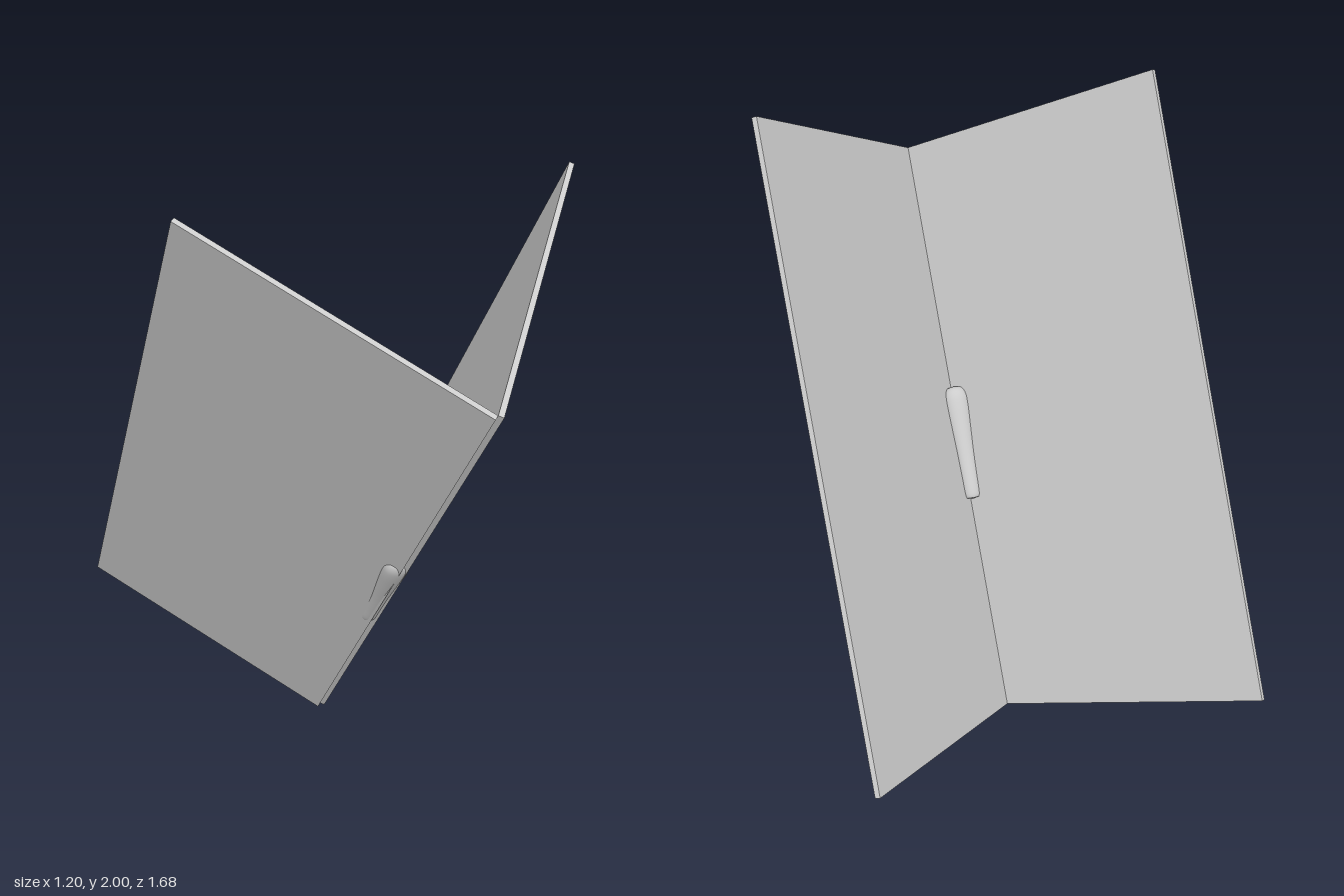
import * as THREE from 'three';

const HEIGHT = 1.906;   // length along the spine
const WIDTH = 0.944;    // spine to outer edge
const THICK = 0.016;
const OPENING = 0.896;  // angle of each panel from the side axis
const TILT = 0.5868;    // forward lean of the spine

export function createModel() {
  const material = new THREE.MeshStandardMaterial({ color: 0xcccccc });
  const model = new THREE.Group();
  model.name = 'hingedPanels';

  // Everything is built with the spine upright, then leaned forward.
  const leaning = new THREE.Group();
  leaning.name = 'leaningAssembly';
  leaning.position.set(0, 0, -0.215);
  leaning.rotation.x = TILT;
  model.add(leaning);

  // Two flat panels meeting in a V, inner corners touching
  for (const side of [1, -1]) {
    const geometry = new THREE.BoxGeometry(WIDTH, HEIGHT, THICK);
    geometry.translate(WIDTH / 2, HEIGHT / 2, side * THICK / 2);
    const panel = new THREE.Mesh(geometry, material);
    panel.name = side > 0 ? 'leftPanel' : 'rightPanel';
    panel.position.z = -0.01;
    panel.rotation.y = side > 0 ? OPENING : Math.PI - OPENING;
    leaning.add(panel);
  }

  // Smooth grip straddling the spine, fuller towards its top
  const outline = new THREE.SplineCurve([
    [0.022, 0.004], [0.028, 0.02], [0.03, 0.08], [0.033, 0.16], [0.039, 0.25],
    [0.043, 0.32], [0.04, 0.355], [0.026, 0.376], [0, 0.382],
  ].map(([r, y]) => new THREE.Vector2(r, y))).getPoints(40);
  outline[outline.length - 1].x = 0;
  const gripGeometry = new THREE.LatheGeometry([new THREE.Vector2(0, 0), ...outline], 32);
  const grip = new THREE.Mesh(gripGeometry, material);
  grip.name = 'grip';
  grip.position.set(-0.004, 0.708, -0.027);
  grip.scale.z = 0.8;
  grip.rotation.x = -0.02;
  leaning.add(grip);

  return model;
}
